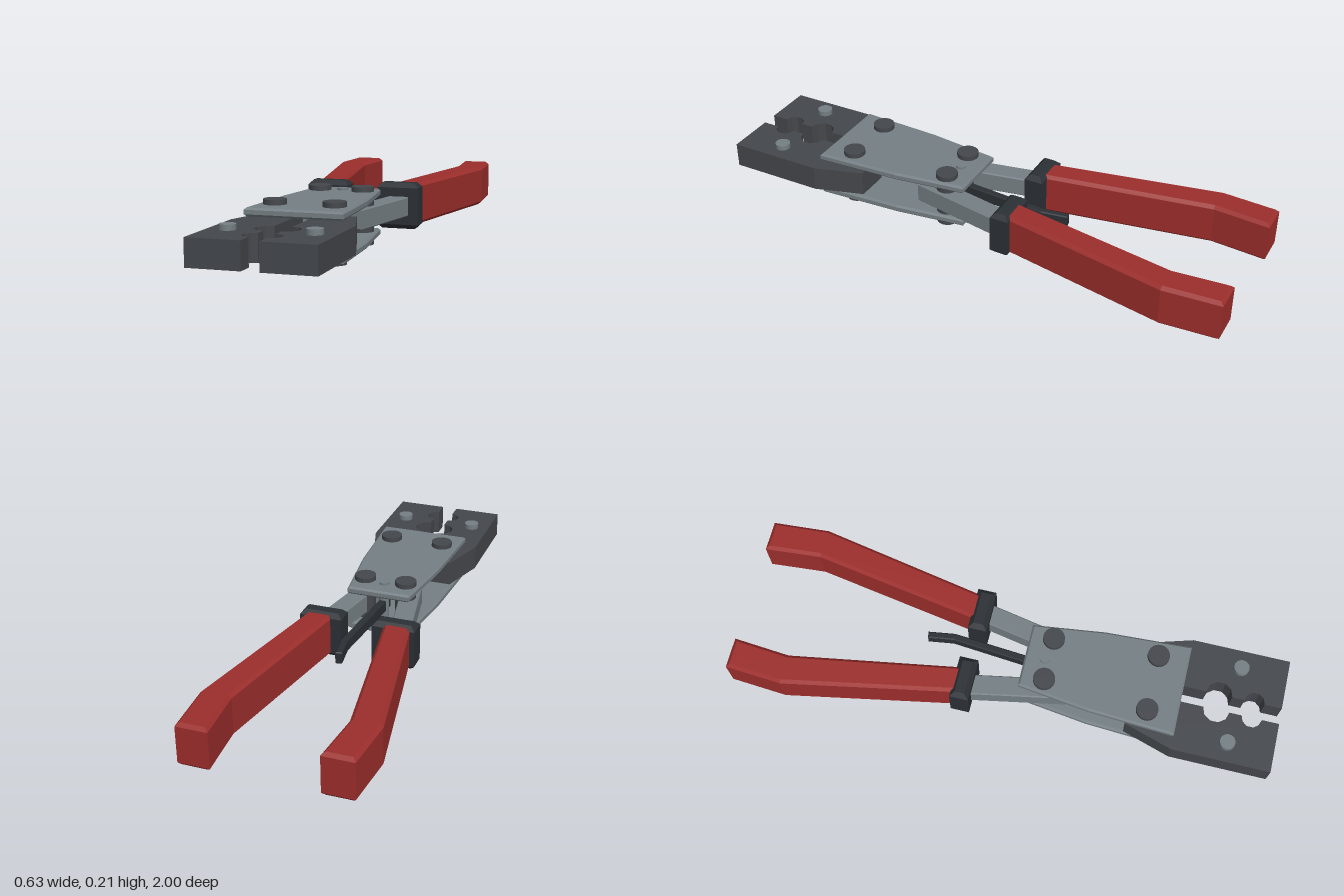
import * as THREE from 'three';

const mat = (color) => new THREE.MeshStandardMaterial({ color, flatShading: true });
const steel = mat(0x757f84), dark = mat(0x44474c), black = mat(0x2b3035), red = mat(0x9c2e2c);
const MID = 0.105; // height of the tool's middle plane

export function createModel() {
  const model = new THREE.Group();
  model.name = 'crimpingPliers';

  const add = (name, geometry, material) => {
    const mesh = new THREE.Mesh(geometry, material);
    mesh.name = name;
    model.add(mesh);
    return mesh;
  };

  // Flat part: outline of [x, z] points, standing between y0 and y1, with chamfered edges
  const slab = (name, outline, y0, y1, material, bevel = 0) => {
    const shape = new THREE.Shape(outline.map(([x, z]) => new THREE.Vector2(x, -z)));
    const geo = new THREE.ExtrudeGeometry(shape, {
      depth: y1 - y0 - 2 * bevel, bevelEnabled: bevel > 0, bevelSize: bevel,
      bevelThickness: bevel, bevelOffset: -bevel, bevelSegments: 1,
    });
    geo.rotateX(-Math.PI / 2).translate(0, y0 + bevel, 0);
    return add(name, geo, material);
  };

  const pin = (name, x, z, radius, height, material) => {
    const mesh = add(name, new THREE.CylinderGeometry(radius, radius, height, 24), material);
    mesh.material = material.clone();
    mesh.material.flatShading = false;
    mesh.position.set(x, MID, z);
  };

  // Half-round die notch cut into the inner edge of a jaw
  const notch = (x, z, r, n = 5) => Array.from({ length: n + 1 }, (_, i) => {
    const a = (i / n) * Math.PI;
    return [x + r * Math.sin(a), z - r * Math.cos(a)];
  });

  const jaw = [
    [0.03, 0.46], ...notch(0.03, 0.77, 0.048), ...notch(0.03, 0.9, 0.037),
    [0.03, 1], [0.215, 1], [0.215, 0.64], [0.16, 0.46],
  ];
  const arm = [[0.038, 0.233], [0.112, 0.247], [0.185, -0.14], [0.11, -0.15]];
  const collar = [[0.058, -0.18], [0.058, -0.11], [0.217, -0.11], [0.217, -0.18]];
  const grip = [
    [0.097, -0.16], [0.195, -0.16], [0.314, -0.79], [0.299, -1], [0.186, -1], [0.203, -0.79],
  ];

  // Mirrored halves: jaws, arms, collars, grips and their rivets
  for (const [side, s] of [['left', 1], ['right', -1]]) {
    const flip = (pts) => pts.map(([x, z]) => [s * x, z]);
    slab(side + 'Jaw', flip(jaw), 0.058, 0.152, dark);
    slab(side + 'Arm', flip(arm), 0.068, 0.142, steel, 0.004);
    slab(side + 'Collar', flip(collar), 0.018, 0.192, black, 0.017);
    slab(side + 'Grip', flip(grip), 0.026, 0.184, red, 0.012);
    pin(side + 'JawPin', s * 0.145, 0.83, 0.028, 0.132, steel);
    pin(side + 'FrontRivet', s * 0.105, 0.525, 0.04, 0.21, dark);
    pin(side + 'RearRivet', s * 0.08, 0.14, 0.04, 0.21, dark);
  }

  // Two link plates holding the jaws and arms together
  const plate = [
    [-0.12, 0.052], [-0.155, 0.32], [-0.172, 0.637],
    [0.172, 0.637], [0.155, 0.32], [0.12, 0.052],
  ];
  slab('topPlate', plate, 0.163, 0.192, steel, 0.007);
  slab('bottomPlate', plate, 0.018, 0.047, steel, 0.007);

  // Ratchet release lever on its pivot
  pin('leverPivot', 0, 0.125, 0.019, 0.19, steel);
  slab('releaseLever', [
    [-0.016, 0.15], [0.012, 0.15], [0.041, -0.225], [0.026, -0.325], [0.002, -0.32], [0.016, -0.225],
  ], 0.082, 0.128, black, 0.004);

  return model;
}
